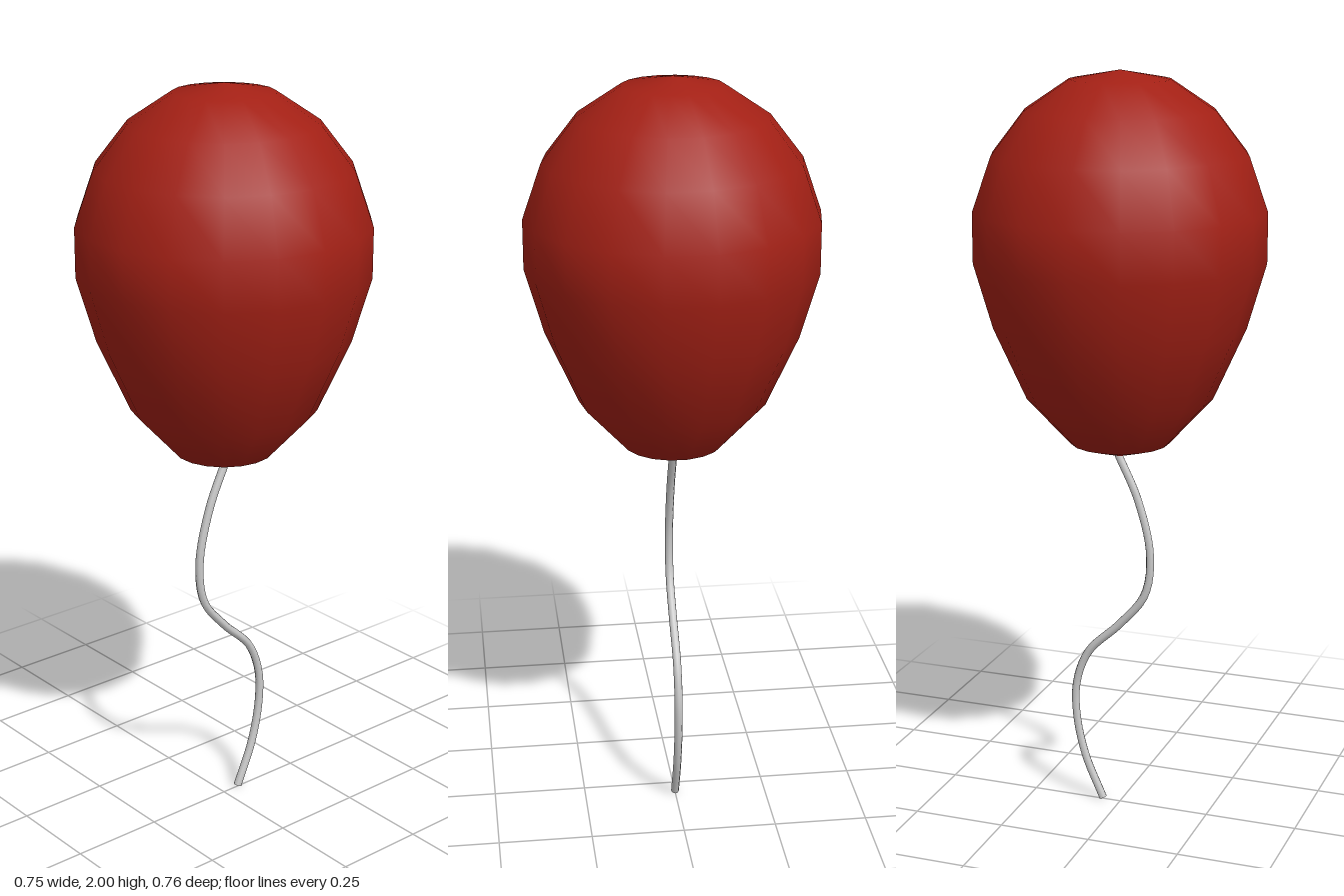
import * as THREE from 'three';

export function createModel() {
  const model = new THREE.Group();

  // Balloon: egg-shaped profile, bottom to top, turned in 18 steps
  const profile = [
    [0, 0.995], [0.13, 1.035], [0.245, 1.16], [0.33, 1.35], [0.379, 1.52],
    [0.379, 1.65], [0.33, 1.79], [0.245, 1.9], [0.13, 1.977], [0, 2],
  ].map(([r, y]) => new THREE.Vector2(r, y));
  const balloon = new THREE.Mesh(
    new THREE.LatheGeometry(profile, 18),
    new THREE.MeshStandardMaterial({ color: 0xa32015 }),
  );
  balloon.name = 'balloon';
  model.add(balloon);

  // String: a wavy tube in the x-y plane, hanging from the balloon
  const path = new THREE.CatmullRomCurve3([
    [0.005, 1.0], [-0.05, 0.88], [-0.085, 0.73], [-0.07, 0.615], [0, 0.525],
    [0.09, 0.435], [0.125, 0.345], [0.127, 0.25], [0.102, 0.13], [0.05, 0.007],
  ].map(([x, y]) => new THREE.Vector3(x, y, 0)));
  const radius = 0.011;
  const stringMaterial = new THREE.MeshStandardMaterial({ color: 0xcccccc });
  const string = new THREE.Mesh(new THREE.TubeGeometry(path, 48, radius, 8), stringMaterial);
  string.name = 'string';
  model.add(string);

  // Flat cap closing the lower end of the string
  const stringEnd = new THREE.Mesh(new THREE.CircleGeometry(radius, 8), stringMaterial);
  stringEnd.name = 'stringEnd';
  stringEnd.position.copy(path.getPoint(1));
  stringEnd.quaternion.setFromUnitVectors(new THREE.Vector3(0, 0, 1), path.getTangent(1));
  model.add(stringEnd);

  return model;
}
